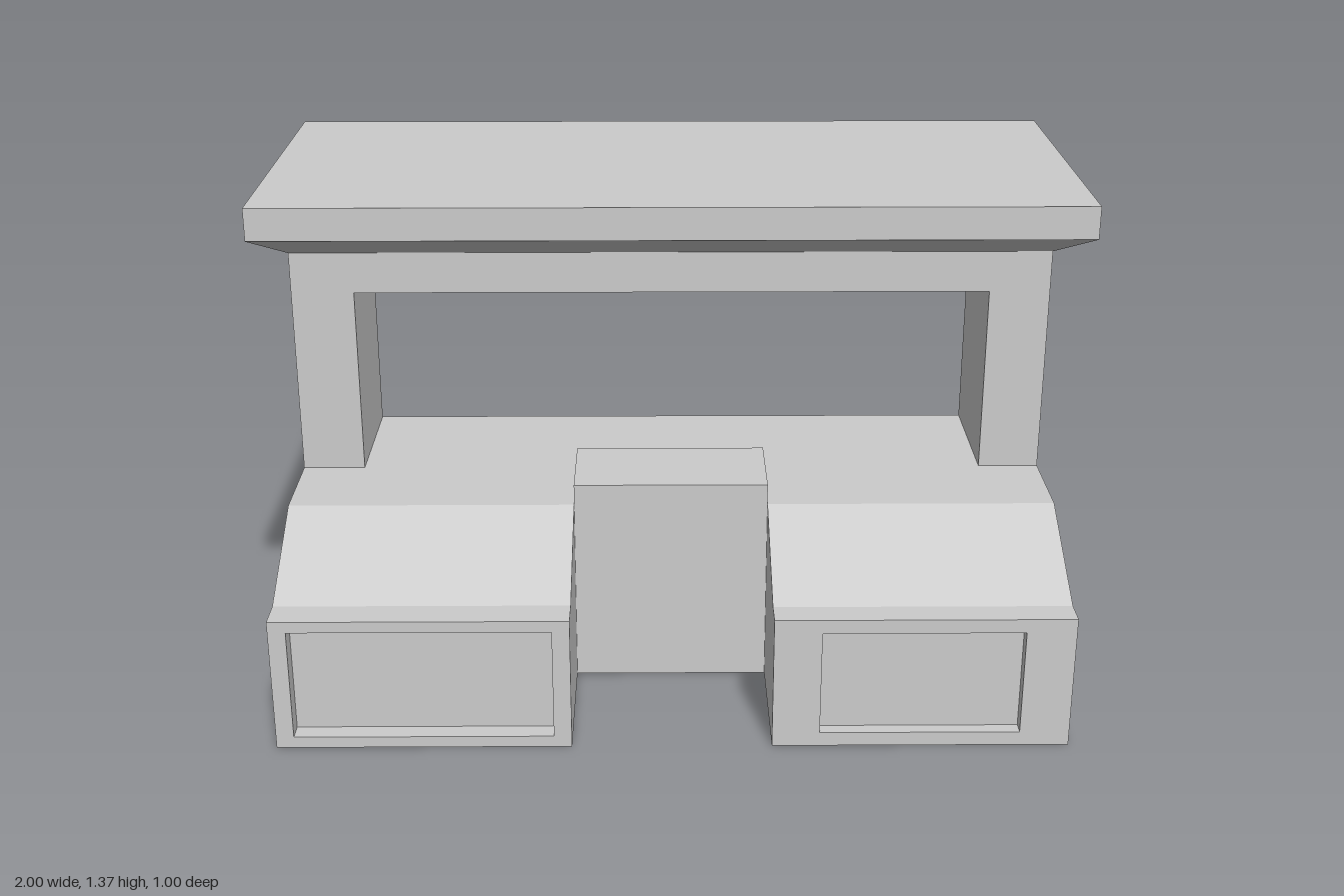
import * as THREE from 'three';

const material = new THREE.MeshStandardMaterial({ color: 0xcccccc });

function addMesh(group, name, geometry) {
  const mesh = new THREE.Mesh(geometry, material);
  mesh.name = name;
  group.add(mesh);
}

// Box given by its extents on each axis
function block(x0, x1, y0, y1, z0, z1) {
  return new THREE.BoxGeometry(x1 - x0, y1 - y0, z1 - z0)
    .translate((x0 + x1) / 2, (y0 + y1) / 2, (z0 + z1) / 2);
}

// Side profile of [z, y] points, extruded from x0 to x1
function sideExtrude(points, x0, x1) {
  const shape = new THREE.Shape(points.map(([z, y]) => new THREE.Vector2(z, y)));
  return new THREE.ExtrudeGeometry(shape, { depth: x1 - x0, bevelEnabled: false })
    .rotateY(-Math.PI / 2).translate(x1, 0, 0);
}

// Rectangular outline as [x, y] corners
function rectPoints(x0, x1, y0, y1) {
  return [[x0, y0], [x1, y0], [x1, y1], [x0, y1]].map(([x, y]) => new THREE.Vector2(x, y));
}

// Front plate with a rectangular opening
function frame(x0, x1, top, hole, depth) {
  const shape = new THREE.Shape(rectPoints(x0, x1, 0, top));
  shape.holes.push(new THREE.Path(rectPoints(...hole).reverse()));
  return new THREE.ExtrudeGeometry(shape, { depth, bevelEnabled: false })
    .translate(0, 0, 0.5 - depth);
}

export function createModel() {
  const group = new THREE.Group();
  const counterY = 0.5, lipY = 0.355, headerY = 1.0, midZ = 0.125;

  // Counter base and the raised tray at its centre
  addMesh(group, 'counterBase', block(-1, 1, 0, counterY, -0.5, midZ));
  addMesh(group, 'counterTray', block(-0.255, 0.25, counterY, 0.555, -midZ, midZ));

  // Sloped front cabinets, each with a recessed panel
  const cabinets = [
    { side: 'right', x: [-1, -0.255], lipZ: 0.415, depth: 0.05, hole: [-0.955, -0.3, 0.03, 0.325] },
    { side: 'left', x: [0.25, 1], lipZ: 0.428, depth: 0.035, hole: [0.37, 0.875, 0.037, 0.318] },
  ];
  for (const { side, x, lipZ, depth, hole } of cabinets) {
    const panelZ = 0.5 - depth;
    addMesh(group, side + 'Cabinet', sideExtrude(
      [[midZ, 0], [panelZ, 0], [panelZ, lipY], [lipZ, lipY], [midZ, counterY]], ...x));
    addMesh(group, side + 'PanelFrame', frame(...x, lipY, hole, depth));
  }

  // Posts either side of the serving opening
  addMesh(group, 'rightPost', block(-1, -0.835, counterY, headerY, -0.5, -midZ));
  addMesh(group, 'leftPost', block(0.84, 1, counterY, headerY, -0.5, -midZ));

  // Header and overhanging canopy
  addMesh(group, 'canopy', sideExtrude(
    [[-0.5, headerY], [-midZ, headerY], [-midZ, 1.11], [0.375, 1.29], [0.375, 1.37], [-0.5, 1.37]],
    -1, 1));

  return group;
}
